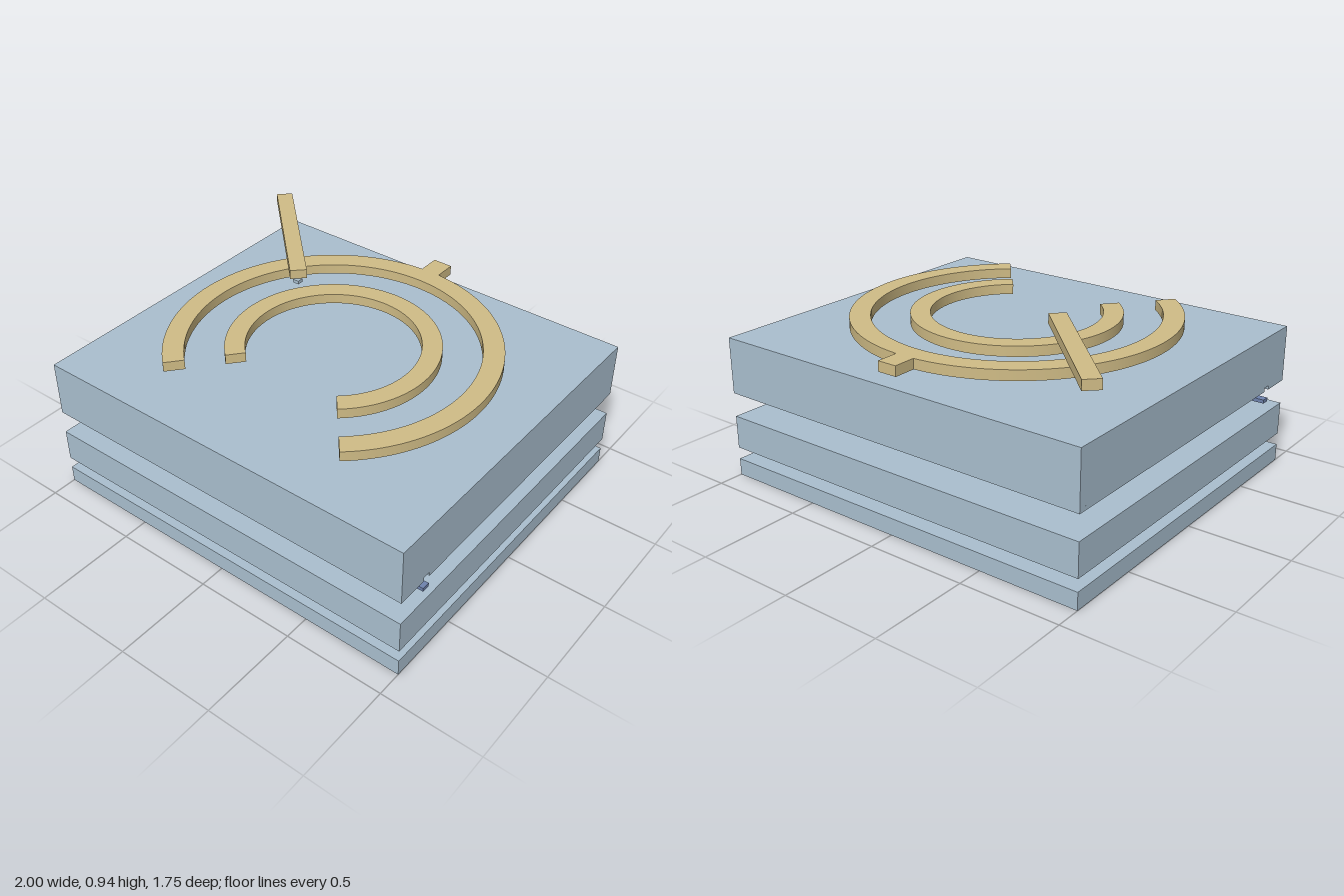
import * as THREE from 'three';
import { toCreasedNormals } from 'three/addons/utils/BufferGeometryUtils.js';

const RING_Z = 0.04; // common centre of all rings
const rad = THREE.MathUtils.degToRad;

export function createModel() {
  const model = new THREE.Group();
  const layerBlue = new THREE.MeshStandardMaterial({ name: 'layer blue', color: 0xaabfcf });
  const contactGold = new THREE.MeshStandardMaterial({ name: 'contact gold', color: 0xd0bc86 });
  const guideBlue = new THREE.MeshStandardMaterial({ name: 'guide blue', color: 0x6f83ad });

  function add(name, geometry, material) {
    const mesh = new THREE.Mesh(geometry, material);
    mesh.name = name;
    model.add(mesh);
    return mesh;
  }

  function box(name, material, x0, x1, y0, y1, z0, z1) {
    const mesh = add(name, new THREE.BoxGeometry(x1 - x0, y1 - y0, z1 - z0), material);
    mesh.position.set((x0 + x1) / 2, (y0 + y1) / 2, (z0 + z1) / 2);
    return mesh;
  }

  // Extrude a plan drawn in (x, z) between two heights
  function plate(name, material, shape, y0, y1) {
    const g = new THREE.ExtrudeGeometry(shape, { depth: y1 - y0, bevelEnabled: false, curveSegments: 72 });
    g.rotateX(Math.PI / 2);
    g.translate(0, y1, 0);
    return add(name, toCreasedNormals(g, rad(30)), material);
  }

  // Ring open towards the front, with an optional tab at the back
  function openRing(inner, outer, tab) {
    const s = new THREE.Shape();
    const start = rad(130), end = rad(410);
    if (tab) {
      const half = Math.asin(tab.halfWidth / outer);
      s.absarc(0, RING_Z, outer, start, rad(270) - half, false);
      s.lineTo(-tab.halfWidth, tab.z);
      s.lineTo(tab.halfWidth, tab.z);
      s.absarc(0, RING_Z, outer, rad(270) + half, end, false);
    } else {
      s.absarc(0, RING_Z, outer, start, end, false);
    }
    s.absarc(0, RING_Z, inner, end, start, true);
    s.closePath();
    return s;
  }

  function circle(radius, Type = THREE.Shape) {
    return new Type().absarc(0, RING_Z, radius, 0, Math.PI * 2, false);
  }

  // Stacked layers
  box('baseLayer', layerBlue, -1, 1, 0, 0.085, -0.875, 0.875);
  box('lowerLayer', layerBlue, -1, 1, 0.145, 0.31, -0.875, 0.875);
  box('upperLayer', layerBlue, -1, 1, 0.45, 0.71, -0.875, 0.875);

  // Underside of the upper layer, grooved for the straight and ring guides
  box('upperLayerFrontLip', layerBlue, -1, 1, 0.43, 0.45, 0.72, 0.875);
  const underside = new THREE.Shape([
    new THREE.Vector2(-1, -0.875), new THREE.Vector2(1, -0.875),
    new THREE.Vector2(1, 0.68), new THREE.Vector2(-1, 0.68),
  ]);
  underside.holes.push(circle(0.62, THREE.Path));
  plate('upperLayerUnderside', layerBlue, underside, 0.43, 0.45);
  plate('upperLayerCore', layerBlue, circle(0.58), 0.43, 0.45);

  // Guides floating between the layers
  box('straightGuide', guideBlue, -1, 1, 0.37, 0.388, 0.68, 0.72);
  const ring = circle(0.62);
  ring.holes.push(circle(0.58, THREE.Path));
  plate('ringGuide', guideBlue, ring, 0.37, 0.388);
  plate('outerGuideFlange', guideBlue, openRing(0.62, 0.78), 0.37, 0.376);
  plate('innerGuideFlange', guideBlue, openRing(0.41, 0.58), 0.37, 0.376);

  // Contact rings above the stack
  plate('outerContact', contactGold, openRing(0.69, 0.79, { halfWidth: 0.05, z: -0.86 }), 0.76, 0.81);
  plate('innerContact', contactGold, openRing(0.41, 0.505), 0.76, 0.81);

  // Diagonal bridge with its small foot
  const bridge = box('bridge', contactGold, -0.396, 0.396, 0.89, 0.937, -0.041, 0.041);
  bridge.position.x = -0.68;
  bridge.position.z = -0.472;
  bridge.rotation.y = -Math.PI / 4;
  box('bridgeFoot', layerBlue, -0.418, -0.384, 0.873, 0.89, -0.202, -0.17);

  return model;
}
